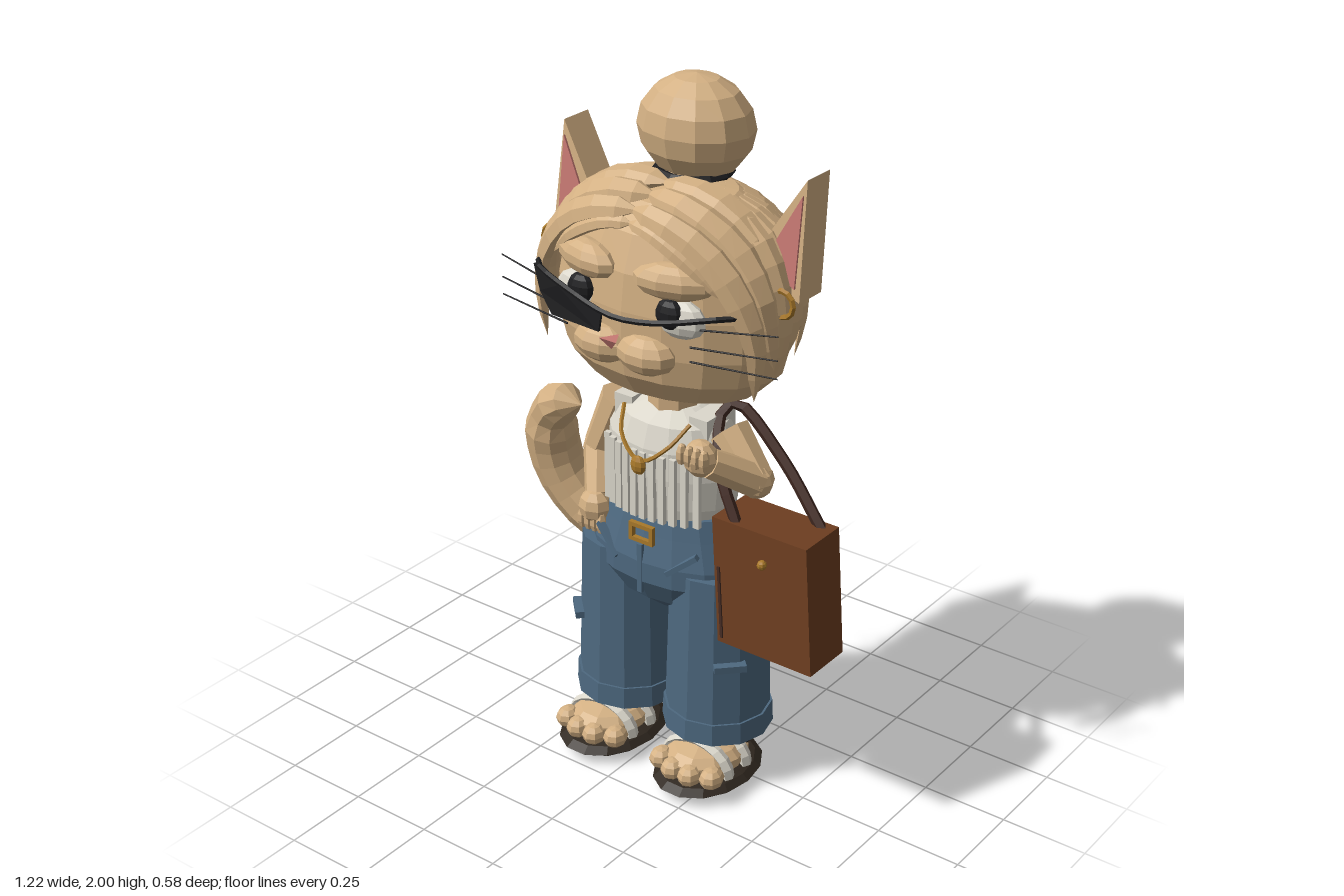
import * as THREE from 'three';

const CX = 0.047; // body's mirror line
const V = (x, y, z) => new THREE.Vector3(x, y, z);
const mat = (name, color, extra) => new THREE.MeshStandardMaterial({ name, color, flatShading: true, ...extra });

export function createModel() {
  const root = new THREE.Group();
  const M = {
    fur: mat('tan fur', 0xd3b083), pink: mat('pink', 0xc87a74), white: mat('off white', 0xdcd8cc),
    black: mat('black', 0x1e1e20), denim: mat('denim', 0x4e6980), bag: mat('brown leather', 0x6d3e20),
    strap: mat('dark strap', 0x432a22), gold: mat('gold', 0xa9792a), sole: mat('dark sole', 0x2f271f),
  };

  // helpers; x is measured from the mirror line
  const add = (name, geo, m, x = 0, y = 0, z = 0) => {
    const mesh = new THREE.Mesh(geo, m);
    mesh.name = name;
    mesh.position.set(CX + x, y, z);
    root.add(mesh);
    return mesh;
  };
  const blob = (name, m, x, y, z, rx, ry, rz, w = 10, h = 7) =>
    add(name, new THREE.SphereGeometry(1, w, h).scale(rx, ry, rz), m, x, y, z);
  const box = (name, m, x, y, z, w, h, d) => add(name, new THREE.BoxGeometry(w, h, d), m, x, y, z);
  const lathe = (name, m, pts, zScale, seg = 18, start = 0, len = Math.PI * 2) =>
    add(name, new THREE.LatheGeometry(pts.map(p => new THREE.Vector2(...p)), seg, start, len).scale(1, 1, zScale), m);
  const limb = (name, m, a, b, ra, rb) => {
    const d = b.clone().sub(a), mid = a.clone().add(b).multiplyScalar(0.5);
    const mesh = add(name, new THREE.CylinderGeometry(rb, ra, d.length(), 8), m, mid.x, mid.y, mid.z);
    mesh.quaternion.setFromUnitVectors(V(0, 1, 0), d.normalize());
  };
  // tube whose radius follows taper(t), optionally flattened away from the head's middle
  const tube = (name, m, pts, r, { seg = 10, sides = 6, taper = () => 1, flat = 1 } = {}) => {
    const curve = new THREE.CatmullRomCurve3(pts);
    const geo = new THREE.TubeGeometry(curve, seg, r, sides), pos = geo.attributes.position;
    for (let i = 0; i < pos.count; i++) {
      const t = Math.floor(i / (sides + 1)) / seg, c = curve.getPointAt(t);
      const d = V(0, 0, 0).fromBufferAttribute(pos, i).sub(c).multiplyScalar(taper(t));
      const n = V(c.x, c.y - 1.43, c.z * 2).normalize();
      d.addScaledVector(n, d.dot(n) * (flat - 1));
      pos.setXYZ(i, c.x + d.x, c.y + d.y, c.z + d.z);
    }
    return add(name, geo, m);
  };

  // head, muzzle and nose
  lathe('head', M.fur, [[0, 1.15], [0.15, 1.16], [0.26, 1.2], [0.325, 1.265], [0.345, 1.34], [0.345, 1.45],
    [0.325, 1.55], [0.27, 1.645], [0.17, 1.71], [0, 1.73]], 0.67);
  for (const s of [-1, 1]) blob('muzzle', M.fur, s * 0.07, 1.345, 0.215, 0.09, 0.055, 0.06);
  const nose = add('nose', new THREE.ConeGeometry(0.032, 0.03, 3), M.pink, 0, 1.375, 0.272);
  nose.rotation.x = Math.PI;
  blob('chin', M.fur, 0, 1.28, 0.17, 0.08, 0.04, 0.05);

  // hair: cap, hanging locks and bun
  lathe('hairCap', M.fur, [[0.345, 1.43], [0.362, 1.5], [0.345, 1.58], [0.29, 1.67], [0.18, 1.735], [0, 1.755]],
    0.7, 14, Math.PI * 0.45, Math.PI * 1.1).material = M.furOpen = mat('tan fur', 0xd3b083, { side: THREE.DoubleSide });
  const lockTaper = t => (t < 0.05 ? 0 : Math.pow(Math.max(0, 1 - t), 0.45) * Math.min(1, 0.45 + t));
  const lockCount = 19;
  for (let i = 0; i < lockCount; i++) {
    const a = Math.PI * (0.46 + 1.08 * i / (lockCount - 1));
    const end = 1.29 + 0.035 * (i % 3);
    const at = (r, y) => V(r * Math.sin(a), y, r * 0.7 * Math.cos(a));
    tube('hairLock', M.fur, [at(0.14, 1.74), at(0.29, 1.66), at(0.36, 1.54), at(0.37, 1.43), at(0.345, end)],
      0.058, { seg: 9, sides: 5, taper: lockTaper, flat: 0.4 });
  }
  for (const s of [-1, 1]) {
    const bang = (pts, r) => tube('fringe', M.fur, pts.map(p => V(s * p[0], p[1], p[2])), r, { seg: 10, taper: lockTaper, flat: 0.55 });
    bang([[-0.02, 1.71, 0.17], [0.1, 1.7, 0.185], [0.22, 1.64, 0.17], [0.31, 1.53, 0.15], [0.35, 1.4, 0.13], [0.34, 1.25, 0.12]], 0.062);
    bang([[-0.02, 1.73, 0.1], [0.13, 1.72, 0.12], [0.26, 1.64, 0.1], [0.34, 1.52, 0.09], [0.36, 1.32, 0.06]], 0.07);
    bang([[-0.02, 1.745, 0.04], [0.15, 1.73, 0.04], [0.28, 1.64, 0.03], [0.35, 1.5, 0.02], [0.355, 1.34, 0]], 0.075);
    bang([[-0.01, 1.68, 0.19], [0.08, 1.67, 0.205], [0.19, 1.61, 0.195], [0.27, 1.53, 0.17]], 0.035);
  }
  blob('bun', M.fur, 0, 1.86, -0.09, 0.165, 0.142, 0.138, 12, 8);
  add('hairTie', new THREE.TorusGeometry(0.095, 0.015, 5, 12).rotateX(Math.PI / 2), M.black, 0, 1.745, -0.08);

  // ears with pink insides and earrings
  const tri = pts => new THREE.Shape(pts.map(p => new THREE.Vector2(...p)));
  const leanEar = geo => {
    const p = geo.attributes.position;
    for (let i = 0; i < p.count; i++) p.setZ(i, p.getZ(i) - (p.getY(i) - 1.5) * 0.13);
    return geo;
  };
  for (const s of [-1, 1]) {
    const outer = [[s * 0.388, 1.815], [s * 0.4, 1.5], [s * 0.24, 1.58]];
    const inner = [[s * 0.382, 1.775], [s * 0.384, 1.535], [s * 0.285, 1.59]];
    add('ear', leanEar(new THREE.ExtrudeGeometry(tri(outer), { depth: 0.1, bevelEnabled: false })), M.fur, 0, 0, -0.085);
    add('innerEar', leanEar(new THREE.ExtrudeGeometry(tri(inner), { depth: 0.006, bevelEnabled: false })), M.pink, 0, 0, 0.015);
    add('earring', new THREE.TorusGeometry(0.036, 0.008, 5, 12), M.gold, s * 0.37, 1.505, 0.05);
    // eyes, heavy lids and whiskers
    blob('eyeWhite', M.white, s * 0.155, 1.46, 0.192, 0.085, 0.055, 0.035);
    blob('pupil', M.black, s * 0.143, 1.475, 0.215, 0.042, 0.042, 0.025);
    const lid = blob('eyelid', M.fur, s * 0.14, 1.555, 0.19, 0.115, 0.05, 0.05);
    lid.rotation.y = s * 0.3;
    for (const [y, y2] of [[1.465, 1.48], [1.415, 1.415], [1.375, 1.365]])
      limb('whisker', M.black, V(s * 0.2, y - 0.02, 0.205), V(s * 0.447, y2, 0.175), 0.003, 0.002);
    limb('glassesTemple', M.black, V(s * 0.335, 1.49, 0.14), V(s * 0.345, 1.49, -0.05), 0.007, 0.007);
  }

  // tilted sunglasses: one dark lens and a wire frame
  const lensGeo = new THREE.ExtrudeGeometry(
    tri([[-0.315, 1.495], [-0.2, 1.475], [-0.035, 1.455], [-0.045, 1.395], [-0.23, 1.382], [-0.285, 1.43]]),
    { depth: 0.008, bevelEnabled: false });
  const lp = lensGeo.attributes.position;
  for (let i = 0; i < lp.count; i++) lp.setZ(i, lp.getZ(i) + 0.262 - 0.7 * lp.getX(i) ** 2);
  add('sunglassesLens', lensGeo, M.black);
  tube('glassesFrame', M.black, [V(-0.335, 1.49, 0.14), V(-0.3, 1.497, 0.2), V(-0.15, 1.475, 0.25), V(0, 1.45, 0.268),
    V(0.13, 1.46, 0.255), V(0.27, 1.49, 0.21), V(0.335, 1.49, 0.14)], 0.008, { seg: 18, sides: 5 });

  // neck and ribbed vest
  limb('neck', M.fur, V(0, 1.05, 0), V(0, 1.2, 0), 0.075, 0.07);
  lathe('vest', M.white, [[0, 0.78], [0.17, 0.78], [0.19, 0.85], [0.2, 0.94], [0.196, 1.02], [0.165, 1.085], [0.08, 1.115], [0, 1.12]], 0.72, 16);
  for (let i = -5; i <= 5; i++) {
    const x = i * 0.03;
    box('vestRib', M.white, x, 0.91, 0.143 * Math.sqrt(1 - (x / 0.21) ** 2), 0.019, 0.2, 0.014);
  }
  for (const s of [-1, 1]) box('vestStrap', M.white, s * 0.125, 1.075, 0, 0.06, 0.08, 0.13);
  tube('necklace', M.gold, [V(-0.11, 1.1, 0.08), V(-0.075, 1.04, 0.137), V(0, 0.99, 0.158), V(0.075, 1.04, 0.137), V(0.11, 1.1, 0.08)],
    0.006, { seg: 14, sides: 5 });
  blob('pendant', M.gold, 0, 0.98, 0.163, 0.025, 0.028, 0.014, 8, 6);

  // jeans
  lathe('hips', M.denim, [[0, 0.48], [0.08, 0.49], [0.2, 0.55], [0.262, 0.62], [0.262, 0.68], [0.228, 0.76], [0.205, 0.82], [0, 0.82]], 0.61, 16);
  for (const s of [-1, 1]) {
    const leg = (name, y, h, rt, rb) => add(name, new THREE.CylinderGeometry(rt, rb, h, 12), M.denim, s * 0.155, y, 0);
    leg('trouserLeg', 0.42, 0.49, 0.137, 0.15);
    leg('trouserCuff', 0.19, 0.065, 0.155, 0.158);
    const seam = box('frontPocket', M.denim, s * 0.125, 0.7, 0.135, 0.11, 0.015, 0.02);
    seam.rotation.set(0, s * 0.3, s * 0.65);
    const back = add('backPocket', new THREE.ExtrudeGeometry(
      tri([[-0.055, 0.05], [-0.055, -0.035], [0, -0.06], [0.055, -0.035], [0.055, 0.05]]), { depth: 0.03, bevelEnabled: false }),
      M.denim, s * 0.1, 0.685, -0.165);
    back.rotation.set(-0.12, s * 0.25, 0);
    box('backPocketFlap', M.denim, s * 0.1, 0.73, -0.152, 0.12, 0.025, 0.035).rotation.y = s * 0.25;
    box('kneeFold', M.denim, s * 0.25, 0.41, 0.085, 0.09, 0.02, 0.07).rotation.y = s * 0.8;
  }
  box('fly', M.denim, 0, 0.66, 0.155, 0.016, 0.15, 0.012);
  for (const s of [-1, 1]) {
    box('buckleBar', M.gold, 0, 0.765 + s * 0.022, 0.148, 0.08, 0.012, 0.014);
    box('buckleSide', M.gold, s * 0.034, 0.765, 0.148, 0.012, 0.05, 0.014);
  }

  // feet in sandals
  for (const s of [-1, 1]) {
    const x = s * 0.17;
    blob('sandalSole', M.sole, x, 0.033, 0.065, 0.14, 0.033, 0.185, 14, 6);
    limb('ankle', M.fur, V(x, 0.05, 0), V(x, 0.2, 0), 0.075, 0.07);
    blob('foot', M.fur, x, 0.085, 0.07, 0.11, 0.055, 0.14);
    for (let i = 0; i < 4; i++)
      blob('toe', M.fur, x + (i - 1.5) * 0.058, 0.078, 0.195 - 0.012 * (i - 1.5) ** 2, 0.034, 0.032, 0.04, 8, 6);
    for (const z of [0.03, 0.115])
      add('sandalStrap', new THREE.TorusGeometry(0.108, 0.014, 5, 10, Math.PI).scale(1, 0.75, 1.6), M.white, x, 0.06, z);
    box('strapBuckle', M.black, s * 0.265, 0.142, 0.02, 0.035, 0.015, 0.03);
  }

  // arms and hands
  const arm = (pts, hand) => {
    limb('upperArm', M.fur, pts[0], pts[1], 0.06, 0.05);
    blob('elbow', M.fur, pts[1].x, pts[1].y, pts[1].z, 0.05, 0.05, 0.05, 8, 6);
    limb('forearm', M.fur, pts[1], pts[2], 0.05, 0.042);
    blob('hand', M.fur, hand.x, hand.y, hand.z, 0.05, 0.052, 0.045, 8, 6);
  };
  arm([V(-0.18, 1.07, 0), V(-0.25, 0.9, 0.01), V(-0.2, 0.79, 0.08)], V(-0.2, 0.765, 0.1));
  for (let i = 0; i < 4; i++) blob('finger', M.fur, -0.2 + (i - 1.5) * 0.022, 0.725, 0.115, 0.015, 0.035, 0.018, 6, 5);
  arm([V(0.18, 1.07, 0), V(0.285, 0.965, 0.02), V(0.215, 1.045, 0.14)], V(0.2, 1.06, 0.155));
  for (let i = 0; i < 4; i++) blob('finger', M.fur, 0.2 + (i - 1.5) * 0.024, 1.075, 0.19, 0.015, 0.032, 0.018, 6, 5);

  // shoulder bag, slanted toward its base
  const bagBox = (name, m, x, y, z, w, h, d) => {
    const geo = new THREE.BoxGeometry(w, h, d).translate(x, y, z), p = geo.attributes.position;
    for (let i = 0; i < p.count; i++) {
      const py = p.getY(i);
      p.setXYZ(i, p.getX(i) - py * 0.14, py, p.getZ(i) - py * 0.1);
    }
    add(name, geo, m, 0.388, 0.7, 0.06);
  };
  bagBox('bag', M.bag, 0, 0, 0, 0.3, 0.35, 0.155);
  bagBox('bagEdge', M.strap, -0.135, -0.06, 0.079, 0.008, 0.2, 0.006);
  add('bagClasp', new THREE.SphereGeometry(0.014, 8, 6), M.gold, 0.388, 0.795, 0.137);
  tube('bagStrap', M.strap, [V(0.28, 0.86, 0.1), V(0.2, 1.0, 0.07), V(0.155, 1.12, 0), V(0.18, 1.145, -0.03),
    V(0.33, 1.02, -0.035), V(0.48, 0.86, -0.01)], 0.017, { seg: 18, sides: 5 });

  // curling tail
  tube('tail', M.fur, [V(0, 0.57, -0.15), V(-0.14, 0.52, -0.205), V(-0.3, 0.49, -0.222), V(-0.46, 0.53, -0.212),
    V(-0.555, 0.64, -0.19), V(-0.578, 0.76, -0.17), V(-0.545, 0.87, -0.14), V(-0.47, 0.925, -0.12), V(-0.42, 0.925, -0.115)],
    0.083, { seg: 18, sides: 10, taper: t => (t === 0 || t === 1 ? 0 : t > 0.93 ? 0.62 : t > 0.8 ? 0.78 : 0.85 + 0.15 * t) });

  return root;
}
